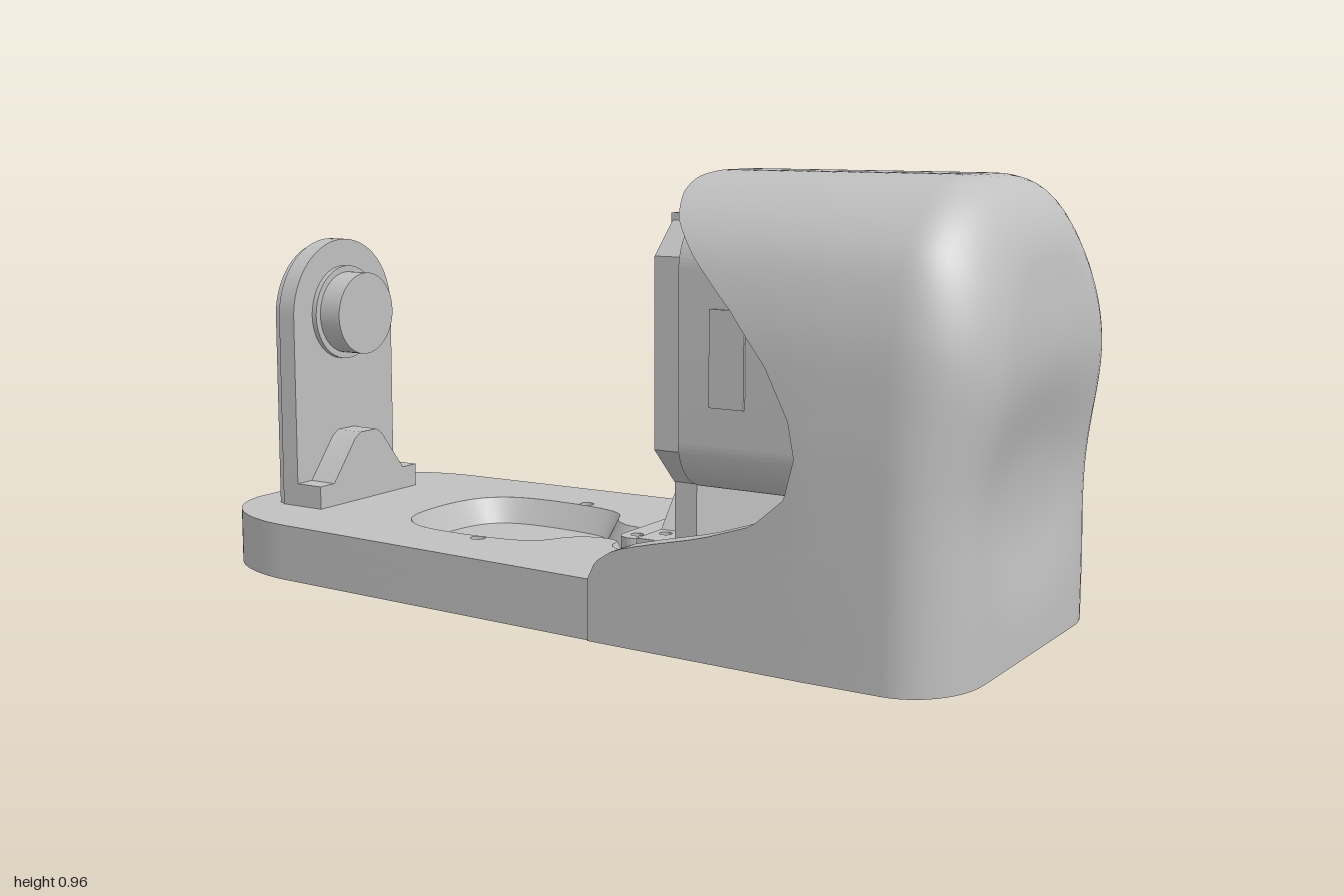
import * as THREE from 'three';
import { toCreasedNormals, mergeGeometries } from 'three/addons/utils/BufferGeometryUtils.js';

const V2 = (x, y) => new THREE.Vector2(x, y);
const { lerp, clamp } = THREE.MathUtils;

export function createModel() {
  const model = new THREE.Group();
  const grey = new THREE.MeshStandardMaterial({ color: 0xc0c0c0, side: THREE.DoubleSide });
  grey.name = 'light grey';

  const add = (name, geometry) => {
    const mesh = new THREE.Mesh(geometry, grey);
    mesh.name = name;
    model.add(mesh);
  };
  const extrude = (shape, depth) => toCreasedNormals(
    new THREE.ExtrudeGeometry(shape, { depth, bevelEnabled: false, curveSegments: 20 }), 0.5);
  // Plan outline (x, z) raised from y0 to y1
  const slab = (shape, y0, y1) => extrude(shape, y1 - y0).rotateX(-Math.PI / 2).translate(0, y0, 0);
  // Upright outline (z, y) running from x0 to x1
  const upright = (shape, x0, x1) => extrude(shape, x1 - x0).rotateY(Math.PI / 2).translate(x0, 0, 0);
  const circle = (x, y, r) => new THREE.Path().absarc(x, y, r, 0, Math.PI * 2, true);
  const disc = (name, r, x0, x1, y, z = 0) =>
    add(name, new THREE.CylinderGeometry(r, r, x1 - x0, 40).rotateZ(Math.PI / 2).translate((x0 + x1) / 2, y, z));
  const poly = pts => new THREE.Shape(pts.map(p => V2(...p)));
  const grid = (nu, nv, fn) => {
    const pos = [], idx = [];
    for (let i = 0; i <= nu; i++) for (let j = 0; j <= nv; j++) pos.push(...fn(i, j));
    for (let i = 0; i < nu; i++) for (let j = 0; j < nv; j++) {
      const a = i * (nv + 1) + j, b = a + nv + 1;
      idx.push(a, a + 1, b, b, a + 1, b + 1);
    }
    const g = new THREE.BufferGeometry();
    g.setAttribute('position', new THREE.Float32BufferAttribute(pos, 3));
    g.setIndex(idx);
    g.computeVertexNormals();
    return g;
  };

  // ---- Base ----
  const baseOutline = () => {
    const s = new THREE.Shape();
    s.moveTo(-1, -0.15);
    s.bezierCurveTo(-0.98, -0.27, -0.87, -0.35, -0.72, -0.36);
    s.lineTo(0.16, -0.4);
    s.lineTo(0.8, -0.41);
    s.quadraticCurveTo(0.945, -0.41, 0.945, -0.25);
    s.lineTo(0.945, 0.25);
    s.quadraticCurveTo(0.945, 0.41, 0.8, 0.41);
    s.lineTo(0.16, 0.4);
    s.lineTo(-0.72, 0.36);
    s.bezierCurveTo(-0.87, 0.35, -0.98, 0.27, -1, 0.15);
    return s;
  };
  // Cable pocket: a rounded well, a channel with a lobe, and a second well
  const half = [[-0.54, 0.08], [-0.51, 0.15], [-0.44, 0.195], [-0.2, 0.195], [-0.13, 0.165], [-0.09, 0.1],
    [-0.04, 0.07], [0.02, 0.075], [0.035, 0.12], [0.08, 0.145], [0.125, 0.12], [0.14, 0.075], [0.28, 0.07],
    [0.34, 0.1], [0.4, 0.17], [0.48, 0.195], [0.65, 0.195], [0.74, 0.16], [0.78, 0.08]];
  const pocketPts = [...half, ...half.map(([x, z]) => [x, -z]).reverse()];
  const N = 200;
  const outer = new THREE.CatmullRomCurve3(pocketPts.map(([x, z]) => new THREE.Vector3(x, z, 0)), true)
    .getSpacedPoints(N).slice(0, N).map(p => V2(p.x, p.y));
  const inner = outer.map((p, i) => {
    const t = outer[(i + 1) % N].clone().sub(outer[(i + N - 1) % N]).normalize();
    return V2(p.x + t.y * 0.03, p.y - t.x * 0.03);
  });

  const through = [];
  const screws = [];
  for (const s of [-1, 1]) {
    through.push([-0.26, s * 0.22, 0.017], [0.08, s * 0.09, 0.014], [0.2, s * 0.16, 0.014]);
    screws.push([0.65, s * 0.26, 0.04], [0.2, s * 0.25, 0.04], [-0.37, s * 0.27, 0.04], [-0.85, s * 0.17, 0.045]);
  }
  const pierced = holes => {
    const s = baseOutline();
    holes.forEach(h => s.holes.push(circle(...h)));
    return s;
  };
  add('baseSole', slab(pierced([...through, ...screws]), 0.012, 0.04));
  add('baseFloor', slab(pierced(through), 0.04, 0.07));
  const deck = pierced(through.filter(h => h[0] !== 0.08));
  deck.holes.push(new THREE.Path(outer));
  add('baseDeck', slab(deck, 0.07, 0.13));
  add('pocketWall', grid(N, 1, (i, j) => {
    const p = (j ? inner : outer)[i % N];
    return [p.x, j ? 0.0705 : 0.13, p.y];
  }));

  // Underside rim, pocket outline and chevron tread
  const rim = baseOutline();
  rim.holes.push(new THREE.Path(baseOutline().getPoints(20).map(p => V2(p.x * 0.985, p.y * 0.97))));
  add('soleRim', slab(rim, 0, 0.012));
  const ridge = new THREE.Shape(outer);
  ridge.holes.push(new THREE.Path(outer.map((p, i) => p.clone().lerp(inner[i], 0.4))));
  add('soleRidge', slab(ridge, 0, 0.012));
  const bars = [];
  for (let i = 0; i < 27; i++) for (let k = -5; k <= 5; k++) {
    const x = -0.92 + i * 0.069, z = k * 0.07;
    const limit = x < -0.72 ? 0.3 + (x + 0.72) * 0.6 : 0.32 + (x + 0.72) * 0.04;
    if (Math.abs(z) > limit) continue;
    if ([...screws, ...through].some(h => Math.hypot(h[0] - x, h[1] - z) < h[2] + 0.035)) continue;
    bars.push(new THREE.BoxGeometry(0.012, 0.012, 0.072).rotateY(k % 2 ? 0.75 : -0.75).translate(x, 0.006, z));
  }
  add('soleTread', mergeGeometries(bars));

  // ---- Hood: arched shell with a swept opening and a rounded, dented end ----
  const arch = [[0.42, 0], [0.42, 0.25], [0.416, 0.5], [0.4, 0.68], [0.362, 0.8], [0.32, 0.86],
    [0.26, 0.91], [0.19, 0.944], [0.1, 0.958]];
  const archPts = [...arch, [0, 0.96], ...arch.map(([z, y]) => [-z, y]).reverse()];
  const U = 240;
  const section = new THREE.CatmullRomCurve3(archPts.map(([z, y]) => new THREE.Vector3(0, y, z))).getSpacedPoints(U);
  const rimCurve = [[0, 0.16], [0.13, 0.16], [0.17, 0.18], [0.2, 0.225], [0.22, 0.3], [0.25, 0.43], [0.29, 0.55],
    [0.35, 0.62], [0.43, 0.64], [0.5, 0.625], [0.6, 0.57], [0.7, 0.485], [0.8, 0.38], [0.87, 0.315], [0.92, 0.288], [0.97, 0.28]];
  const edgeX = y => {
    const i = Math.max(1, rimCurve.findIndex(p => p[0] >= y));
    const [a, b] = [rimCurve[i - 1], rimCurve[i]];
    return lerp(a[1], b[1], clamp((y - a[0]) / (b[0] - a[0]), 0, 1));
  };
  const SIDE = 8, ROUND = 12, CAP = 24;
  const hoodPoint = (i, j, zs, ys, back) => {
    const p = section[i];
    const a = clamp((j - SIDE) / ROUND, 0, 1) * Math.PI / 2;
    const m = 1 - Math.max(0, j - SIDE - ROUND) / CAP;
    const c = 1 - Math.cos(a);
    const z = p.z * (1 - 0.4 * c) * m, y = Math.max(0, p.y) * (1 - 0.17 * c) * m;
    let x = lerp(edgeX(p.y * ys), 0.83, Math.min(1, j / SIDE));
    const w = 0.962 + 0.038 * clamp((x - 0.16) / 0.5, 0, 1);
    const dent = ((y - 0.34) / 0.19) ** 2 + (z / 0.27) ** 2;
    const bulge = 0.035 * Math.exp(-(((y - 0.62) / 0.2) ** 2)) - 0.025 * Math.exp(-(dent ** 1.5));
    x += (0.135 + bulge - back) * Math.sin(a);
    return [x, y * ys, z * zs * w];
  };
  const outside = (i, j) => hoodPoint(i, j, 1, 1, 0);
  const inside = (i, j) => hoodPoint(i, j, 0.86, 0.957, 0.05);
  const V = SIDE + ROUND + CAP;
  add('hoodOuter', grid(U, V, outside));
  add('hoodInner', grid(U, V, (i, j) => inside(U - i, j)));
  add('hoodLip', grid(U, 1, (i, j) => (j ? outside(i, 0) : inside(i, 0))));

  // ---- Motor ----
  const MY = 0.59;
  const flange = poly([[-0.2, -0.28], [0.2, -0.28], [0.28, -0.2], [0.28, 0.2], [0.2, 0.28], [-0.2, 0.28],
    [-0.28, 0.2], [-0.28, -0.2]].map(([z, y]) => [z, y + MY]));
  flange.holes.push(circle(0, MY, 0.22));
  for (const z of [-0.205, 0.205]) for (const y of [-0.205, 0.205]) flange.holes.push(circle(z, MY + y, 0.03));
  add('motorFlange', upright(flange, 0.245, 0.31));
  const h = 0.285, r = 0.11, body = new THREE.Shape();
  body.absarc(h - r, MY + h - r, r, 0, Math.PI / 2);
  body.absarc(r - h, MY + h - r, r, Math.PI / 2, Math.PI);
  body.absarc(r - h, MY + r - h, r, Math.PI, Math.PI * 1.5);
  body.absarc(h - r, MY + r - h, r, Math.PI * 1.5, Math.PI * 2);
  add('motorBody', upright(body, 0.305, 0.74));
  for (let i = 0; i < 6; i++) {
    const a = i * Math.PI / 3;
    disc('motorScrew', 0.013, 0.298, 0.31, MY + Math.sin(a) * 0.13, Math.cos(a) * 0.13);
  }
  for (const s of [-1, 1]) {
    add('motorSidePlate', new THREE.BoxGeometry(0.08, 0.2, 0.008).translate(0.42, MY, s * 0.287));
    add('flangeTab', new THREE.BoxGeometry(0.045, 0.13, 0.02).translate(0.265, 0.81, s * 0.2));
  }

  // ---- Feet with tapered gussets ----
  const foot = (name, x0, x1, halfZ, holes) => {
    const plan = poly([[x0, -halfZ], [x1, -halfZ], [x1, halfZ], [x0, halfZ]]);
    holes.forEach(hole => plan.holes.push(circle(...hole)));
    add(name, slab(plan, 0.13, 0.185));
    add(name + 'Gusset', upright(poly([[-0.13, 0.185], [0.13, 0.185], [0.05, 0.285], [0.03, 0.298],
      [-0.03, 0.298], [-0.05, 0.285]]), x0, x1));
  };
  foot('motorFoot', 0.17, 0.247, 0.23, through.filter(t => t[0] === 0.2));
  add('motorMount', upright(poly([[-0.2, 0.13], [0.2, 0.13], [0.2, 0.33], [-0.2, 0.33]]), 0.247, 0.3));

  // ---- Idler arm ----
  const arm = w => {
    const s = new THREE.Shape();
    s.moveTo(-w, 0.13);
    s.lineTo(w, 0.13);
    s.absarc(0, MY, w, 0, Math.PI);
    return s;
  };
  add('armPlate', upright(arm(0.18), -0.885, -0.838));
  add('armBackPlate', upright(arm(0.17), -0.905, -0.885));
  foot('armFoot', -0.84, -0.765, 0.18, []);
  disc('idlerCollar', 0.115, -0.84, -0.825, MY);
  disc('idlerDisc', 0.1, -0.83, -0.765, MY);

  // ---- Cable clip ----
  const clip = new THREE.Shape();
  clip.absarc(0.085, 0.095, 0.035, 0, Math.PI);
  clip.absarc(0.085, -0.095, 0.035, Math.PI, Math.PI * 2);
  for (const s of [-1, 1]) clip.holes.push(circle(0.083, s * 0.09, 0.014));
  add('cableClip', slab(clip, 0.125, 0.155));
  for (const s of [-1, 1]) {
    const post = new THREE.Shape().absarc(0.083, s * 0.09, 0.025, 0, Math.PI * 2);
    post.holes.push(circle(0.083, s * 0.09, 0.014));
    add('clipPost', slab(post, 0.07, 0.13));
  }
  return model;
}
